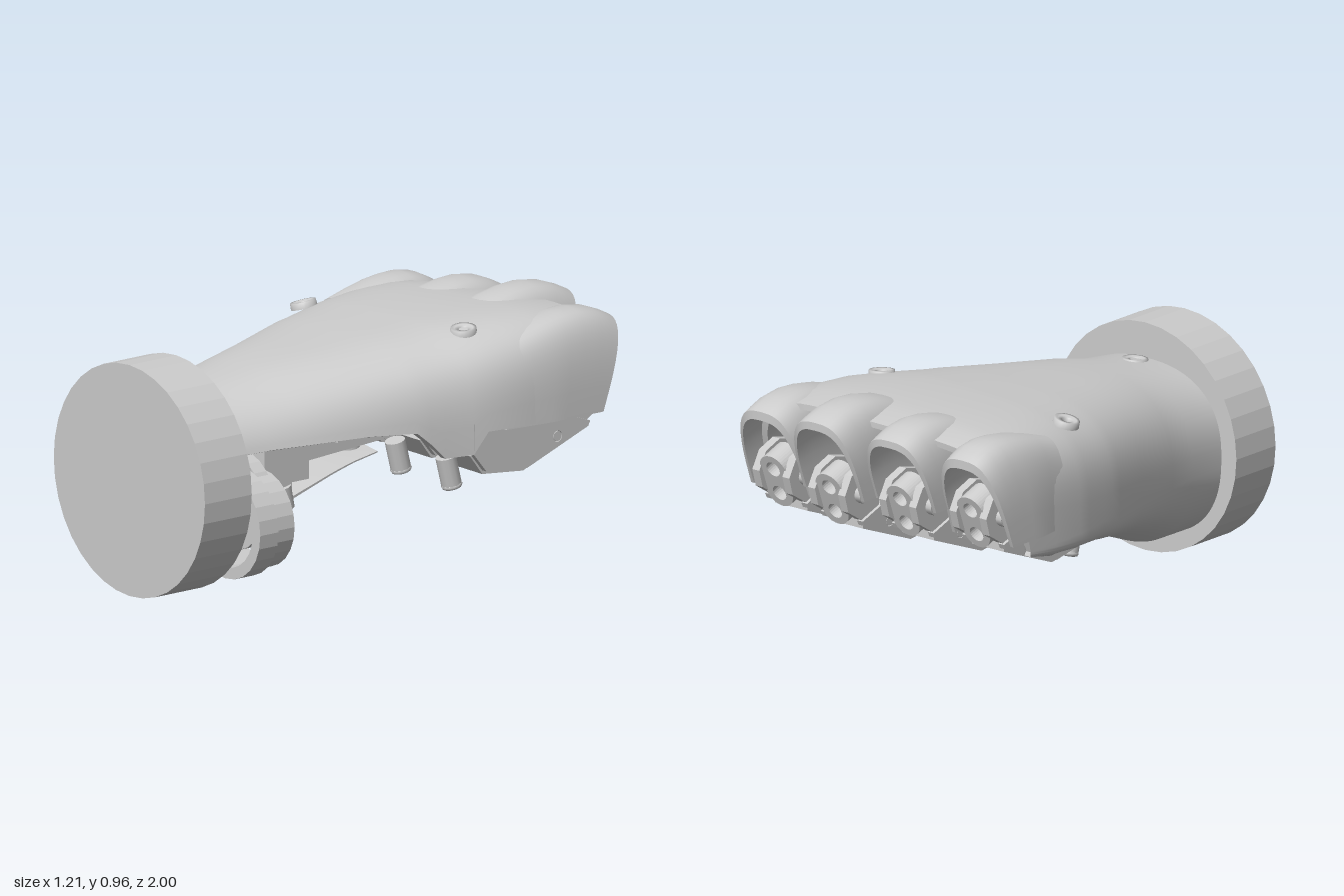
import * as THREE from 'three';
import { toCreasedNormals, mergeVertices } from 'three/addons/utils/BufferGeometryUtils.js';

const mat = new THREE.MeshStandardMaterial({ color: 0xcccccc, side: THREE.DoubleSide });
const flat = new THREE.MeshStandardMaterial({ color: 0xcccccc, flatShading: true });

function add(parent, name, geo, pos = [0, 0, 0], rot = [0, 0, 0], material = mat) {
  const m = new THREE.Mesh(geo, material);
  m.name = name;
  m.position.set(...pos);
  m.rotation.set(...rot);
  parent.add(m);
}

// Thick open skin: rows of outer points, inner points pulled toward each row's centre.
function skin(rows, k) {
  const pos = [], idx = [], n = rows[0].pts.length, loop = 2 * n;
  const put = (row, f, p) => pos.push(...p.map((v, i) => (i < 2 ? row.c[i] + (v - row.c[i]) * f : v)));
  const ring = (row, fo, fi) => {
    row.pts.forEach(p => put(row, fo, p));
    [...row.pts].reverse().forEach(p => put(row, fi, p));
  };
  const mid = (1 + k) / 2;
  ring(rows[0], mid, mid);
  rows.forEach(r => ring(r, 1, k));
  ring(rows[rows.length - 1], mid, mid);
  for (let r = 0; r <= rows.length; r++) for (let i = 0; i < loop; i++) {
    const a = r * loop + i, b = r * loop + (i + 1) % loop;
    idx.push(a, a + loop, b, b, a + loop, b + loop);
  }
  const g = new THREE.BufferGeometry();
  g.setAttribute('position', new THREE.Float32BufferAttribute(pos, 3));
  g.setIndex(idx);
  return toCreasedNormals(mergeVertices(g), 0.6);
}

const spow = (v, e) => Math.sign(v) * Math.pow(Math.abs(v), e);
const lerp = THREE.MathUtils.lerp;

// Hand shell: z, left x, right x, top, bottom, thumb-side edge, squareness, curl under the palm
const stations = [
  [0.77, -0.38, 0.37, 0.77, 0.09, 0.58, 2.4, 1.57], [0.6, -0.38, 0.38, 0.79, 0.09, 0.58, 2.4, 1.57],
  [0.45, -0.41, 0.41, 0.82, 0.15, 0.58, 2.6, 1.57], [0.2, -0.47, 0.46, 0.85, 0.24, 0.58, 3, 1.57],
  [0, -0.53, 0.51, 0.872, 0.3, 0.57, 3.4, 1.57], [-0.06, -0.545, 0.52, 0.88, 0.315, 0.52, 3.5, 1.57],
  [-0.12, -0.555, 0.53, 0.885, 0.33, 0.46, 3.6, 1.57], [-0.24, -0.58, 0.555, 0.9, 0.35, 0.46, 3.8, 1.57],
  [-0.3, -0.588, 0.57, 0.905, 0.355, 0.54, 4, 1.1], [-0.45, -0.592, 0.592, 0.915, 0.37, 0.54, 4.5, 0.5],
  [-0.6, -0.592, 0.595, 0.918, 0.4, 0.54, 4.8, 0.1], [-0.7, -0.592, 0.595, 0.914, 0.42, 0.54, 4.8, 0.02],
  [-0.81, -0.59, 0.59, 0.895, 0.42, 0.54, 4.5, 0.01],
];

function handShell() {
  const rows = stations.map(([z, xl, xr, top, bot, edge, n, curl]) => {
    const cx = (xl + xr) / 2, w = (xr - xl) / 2, ym = 0.45, pts = [];
    const a0 = Math.asin(Math.pow((edge - ym) / (top - ym), n / 2));
    const knots = [a0, Math.PI / 2, Math.PI, Math.PI + curl];
    const end = THREE.MathUtils.smoothstep(-z, 0.6, 0.81);
    for (let i = 0; i <= 60; i++) {
      const k = Math.min(2, Math.floor(i / 20)), a = lerp(knots[k], knots[k + 1], i / 20 - k);
      const c = spow(Math.cos(a), 2 / n), s = spow(Math.sin(a), 2 / n);
      const tilt = s > 0 ? s * c * 0.024 * (0.77 - z) : 0;
      const y = ym + s * (s > 0 ? top - ym : ym - bot);
      pts.push([cx + w * c, y + tilt, z + end * ((top - y) * 0.36 - 0.1 * c * w)]);
    }
    return { c: [cx, ym], pts };
  });
  return skin(rows, 0.95);
}

// Arched hood over one knuckle, with a rim that leans back toward the palm
function hood(cx, zEnd, top, low) {
  const rows = [0, 0.2, 0.4, 0.55, 0.7, 0.85, 0.95, 1].map(s => {
    const z = lerp(-0.38, zEnd, s), hw = lerp(0.13, 0.152, Math.min(1, s * 2.5));
    const peak = s < 0.7 ? lerp(0.84, top, Math.sin(s / 0.7 * Math.PI / 2)) : top - 0.05 * ((s - 0.7) / 0.3) ** 2;
    const pts = [];
    for (let i = 0; i <= 24; i++) {
      const a = i / 24 * Math.PI;
      const y = low + (peak - low) * spow(Math.sin(a), 2 / 3);
      pts.push([cx + hw * spow(Math.cos(a), 2 / 3), y, z + (peak - y) * 0.36 * s * s]);
    }
    return { c: [cx, low], pts };
  });
  return skin(rows, 0.9);
}

function extrude(shape, depth) {
  return new THREE.ExtrudeGeometry(shape, { depth, bevelEnabled: false, curveSegments: 12 }).translate(0, 0, -depth / 2);
}

// Side outline given as [z, y], given width along x
function sidePlate(points, width, holes = []) {
  const s = new THREE.Shape(points.map(([z, y]) => new THREE.Vector2(-z, y)));
  holes.forEach(([z, y, r]) => s.holes.push(new THREE.Path().absarc(-z, y, r, 0, Math.PI * 2, true)));
  return extrude(s, width).rotateY(Math.PI / 2);
}

function disc(r, holes) {
  const s = new THREE.Shape().absarc(0, 0, r, 0, Math.PI * 2);
  holes.forEach(([x, y, hr]) => s.holes.push(new THREE.Path().absarc(x, y, hr, 0, Math.PI * 2, true)));
  return s;
}

function finger(cx, zEnd, top, low) {
  const g = new THREE.Group();
  g.name = 'finger';
  add(g, 'knuckleHood', hood(cx, zEnd, top, low));

  // Joint parts are laid out for a knuckle ending at z = -0.96
  const j = new THREE.Group();
  j.name = 'knuckleJoint';
  const shift = (zEnd + 0.96) * 0.8;
  j.position.set(cx, 0, shift);
  g.add(j);
  const back = -0.24 - shift;
  const cheek = [[back, 0.46], [back - 0.06, 0.385], [-0.5, 0.365], [-0.8, 0.48], [-0.81, 0.5], [-0.7, 0.54], [-0.6, 0.58], [back, 0.58]];
  const lug = [[-0.7, 0.52], [-0.8, 0.5], [-0.88, 0.55], [-0.9, 0.62], [-0.86, 0.69], [-0.78, 0.72], [-0.7, 0.7]];
  for (const sx of [-1, 1]) {
    add(j, 'housingCheek', sidePlate(cheek, 0.03, [[-0.65, 0.465, 0.022]]), [sx * 0.09, 0, 0]);
    add(j, 'hingeLug', sidePlate(lug, 0.035, [[-0.81, 0.61, 0.03]]), [sx * 0.075, 0, 0]);
    add(j, 'lugKnob', new THREE.CylinderGeometry(0.035, 0.035, 0.04, 10), [sx * 0.1, 0.61, -0.81], [0, 0, Math.PI / 2]);
  }
  const floor = [[back, 0.45], [back - 0.06, 0.37], [-0.5, 0.35], [-0.78, 0.46], [-0.78, 0.5], [-0.5, 0.4], [back - 0.08, 0.46]];
  add(j, 'housingFloor', sidePlate(floor, 0.16));
  // Rounded hinge face with two bores
  const face = new THREE.Shape();
  face.absarc(0, 0.05, 0.065, -0.3, Math.PI + 0.3);
  face.absarc(0, -0.05, 0.065, Math.PI - 0.3, 2 * Math.PI + 0.3);
  for (const y of [-0.055, 0.055]) face.holes.push(new THREE.Path().absarc(0, y, 0.032, 0, Math.PI * 2, true));
  add(j, 'hingeFace', extrude(face, 0.1), [0, 0.6, -0.82], [-0.35, 0, 0]);
  add(j, 'hingePin', new THREE.CylinderGeometry(0.02, 0.02, 0.21, 12), [0, 0.465, -0.65], [0, 0, Math.PI / 2]);
  add(g, 'mountScrew', new THREE.CylinderGeometry(0.04, 0.04, 0.12, 12), [cx, 0.385, -0.2], [0.25, 0, 0]);
  add(g, 'screwHead', new THREE.TorusGeometry(0.03, 0.012, 8, 14), [cx, 0.327, -0.215], [Math.PI / 2 + 0.25, 0, 0]);
  return g;
}

export function createModel() {
  const model = new THREE.Group();
  model.name = 'mechanicalHand';

  // Wrist
  add(model, 'wristDisc', new THREE.CylinderGeometry(0.455, 0.455, 0.23, 36), [0, 0.455, 0.885], [Math.PI / 2, 0, 0], flat);
  add(model, 'wristPlate', extrude(disc(0.335, []), 0.1), [0, 0.43, 0.72]);

  // Round thumb mount: rim, flange and a recessed plate with bores
  add(model, 'thumbMountRim', extrude(disc(0.21, [[0, 0, 0.165]]), 0.09), [0.29, 0.3, 0.72]);
  add(model, 'thumbMountFlange', extrude(disc(0.19, [[0, 0, 0.165]]), 0.12), [0.29, 0.3, 0.64]);
  const bores = [0, 1, 2, 3].map(i => [0.105 * Math.cos(i * Math.PI / 2 + 0.4), 0.105 * Math.sin(i * Math.PI / 2 + 0.4), 0.032]);
  add(model, 'thumbMountPlate', extrude(disc(0.19, [...bores, [0, 0, 0.035]]), 0.06), [0.2, 0.36, 0.63]);

  add(model, 'handShell', handShell());

  // Screw recesses on the back of the hand
  const rim = new THREE.LatheGeometry([[0.02, -0.02], [0.02, 0.001], [0.036, 0.001], [0.038, 0.006], [0.05, 0.006], [0.052, -0.02]]
    .map(p => new THREE.Vector2(...p)), 20);
  const screws = [[-0.45, 0.856, -0.22, 0.24], [0.38, 0.906, -0.33, -0.08], [0, 0.777, 0.71, 0]];
  for (const [x, y, z, tilt] of screws) add(model, 'screwRecess', rim, [x, y, z], [0.1, 0, tilt]);

  // Internal frame
  const box = (name, w, h, d, x, y, z, rx = 0) => add(model, name, new THREE.BoxGeometry(w, h, d), [x, y, z], [rx, 0, 0]);
  box('knuckleMount', 1.06, 0.05, 0.46, 0, 0.6, -0.44);
  box('motorBox', 0.22, 0.16, 0.22, 0.2, 0.5, 0.48);
  box('motorBox', 0.24, 0.22, 0.3, -0.16, 0.55, 0.4);
  box('crossBeam', 0.82, 0.06, 0.06, 0, 0.6, 0.28);
  box('crossBeam', 0.94, 0.06, 0.06, 0, 0.6, -0.02);
  for (const x of [-0.25, 0, 0.25]) box('rail', 0.035, 0.1, 0.62, x, 0.54, 0.13, 0.06);
  box('post', 0.06, 0.32, 0.06, 0.03, 0.44, 0.28);
  add(model, 'postFoot', new THREE.CylinderGeometry(0.05, 0.05, 0.09, 14), [0.03, 0.275, 0.285], [0.2, 0, 0]);
  add(model, 'driveShaft', new THREE.CylinderGeometry(0.035, 0.035, 0.13, 14), [0.2, 0.36, 0.555], [Math.PI / 2, 0, 0]);

  // Fingers: centre x, end z, knuckle height, hood lower edge
  const fingers = [[-0.452, -0.84, 0.897, 0.5], [-0.155, -0.92, 0.932, 0.6], [0.145, -1, 0.962, 0.6], [0.45, -0.96, 0.932, 0.54]];
  for (const f of fingers) model.add(finger(...f));
  return model;
}
